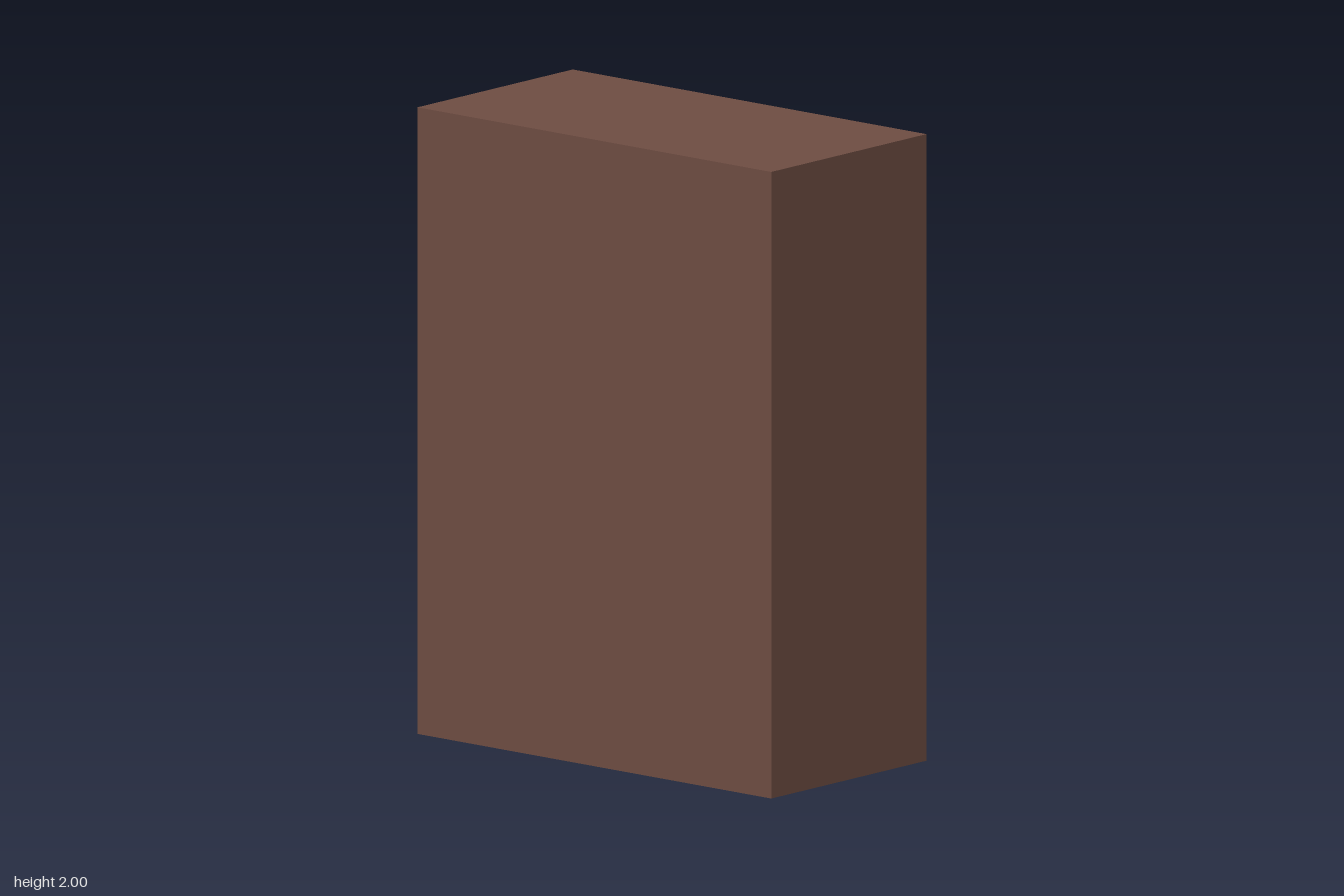
import * as THREE from 'three';

export function createModel() {
  const model = new THREE.Group();
  const wood = new THREE.MeshStandardMaterial({ color: 0x6d4c41 });
  const dark = new THREE.MeshStandardMaterial({ color: 0x351212 });

  // Box given by its minimum and maximum corners
  const box = (name, material, [x0, y0, z0], [x1, y1, z1]) => {
    const mesh = new THREE.Mesh(new THREE.BoxGeometry(x1 - x0, y1 - y0, z1 - z0), material);
    mesh.position.set((x0 + x1) / 2, (y0 + y1) / 2, (z0 + z1) / 2);
    mesh.name = name;
    return mesh;
  };

  // Cabinet body and the thin door panel closing its left side
  model.add(box('cabinetBody', wood, [-0.405, 0, -0.73], [0.32, 2, 0.73]));
  model.add(box('door', wood, [0.32, 0, -0.73], [0.335, 2, 0.73]));

  // Stepped door handle: deep grip above a shallower block
  const handle = new THREE.Group();
  handle.name = 'doorHandle';
  handle.add(box('handleGrip', dark, [0.335, 0.97, 0.485], [0.405, 1.04, 0.565]));
  handle.add(box('handleBase', dark, [0.335, 0.91, 0.485], [0.375, 0.97, 0.565]));
  model.add(handle);

  return model;
}
